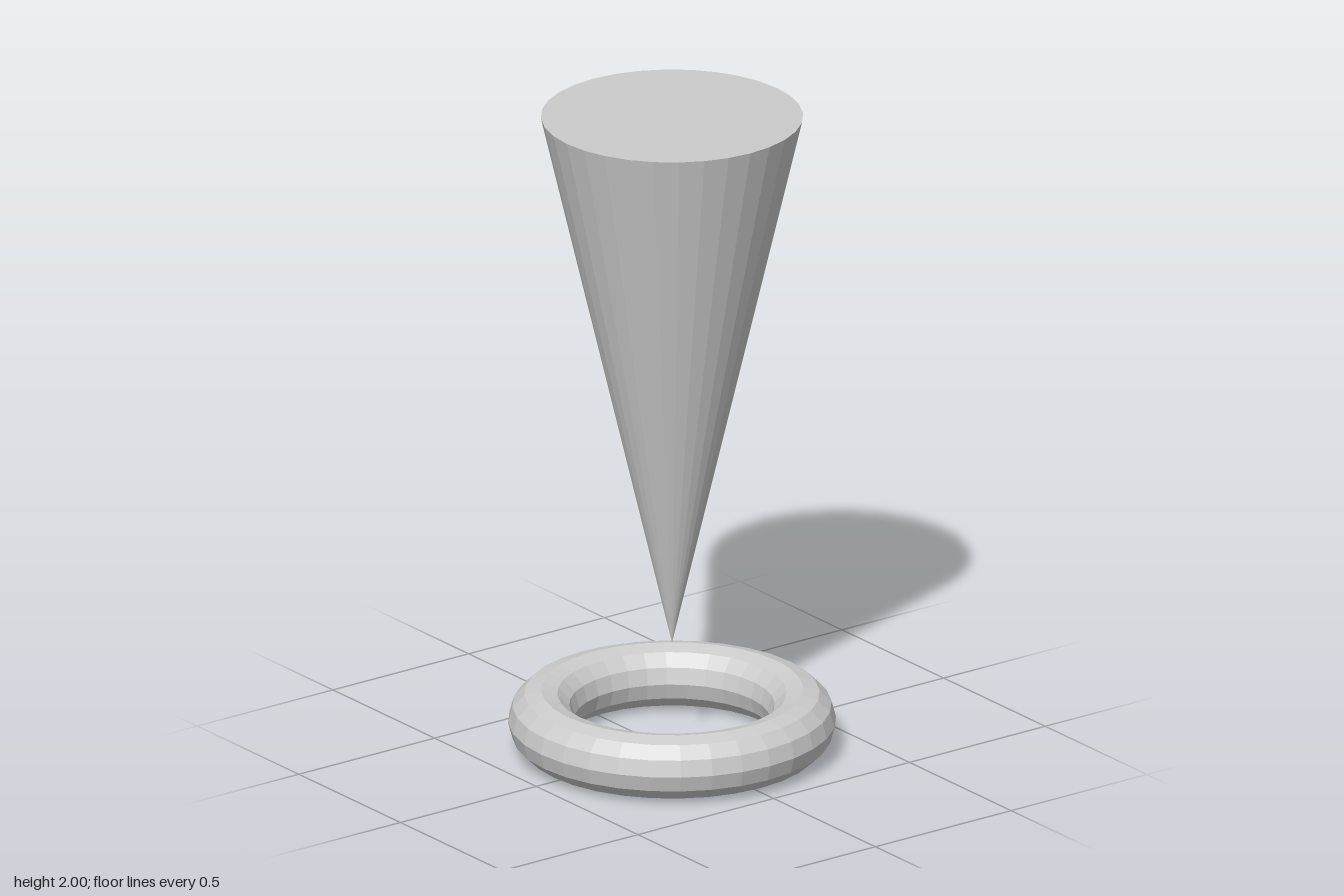
import * as THREE from 'three';

const RADIUS = 0.387; // shared by the cone's top and the ring's centre line
const TUBE = 0.097;
const TIP = 0.34;
const TOP = 2;

export function createModel() {
  const group = new THREE.Group();
  const material = new THREE.MeshStandardMaterial({ color: 0xcccccc, flatShading: true });

  // Inverted cone, tip down, with a flat cap on top
  const coneGeometry = new THREE.ConeGeometry(RADIUS, TOP - TIP, 32);
  coneGeometry.rotateX(Math.PI);
  const cone = new THREE.Mesh(coneGeometry, material);
  cone.name = 'invertedCone';
  cone.position.y = (TOP + TIP) / 2;
  group.add(cone);

  // Ring lying flat on the ground below the tip
  const ringGeometry = new THREE.TorusGeometry(RADIUS, TUBE, 12, 32);
  ringGeometry.rotateX(Math.PI / 2);
  const ring = new THREE.Mesh(ringGeometry, material);
  ring.name = 'baseRing';
  ring.position.y = TUBE;
  group.add(ring);

  return group;
}
